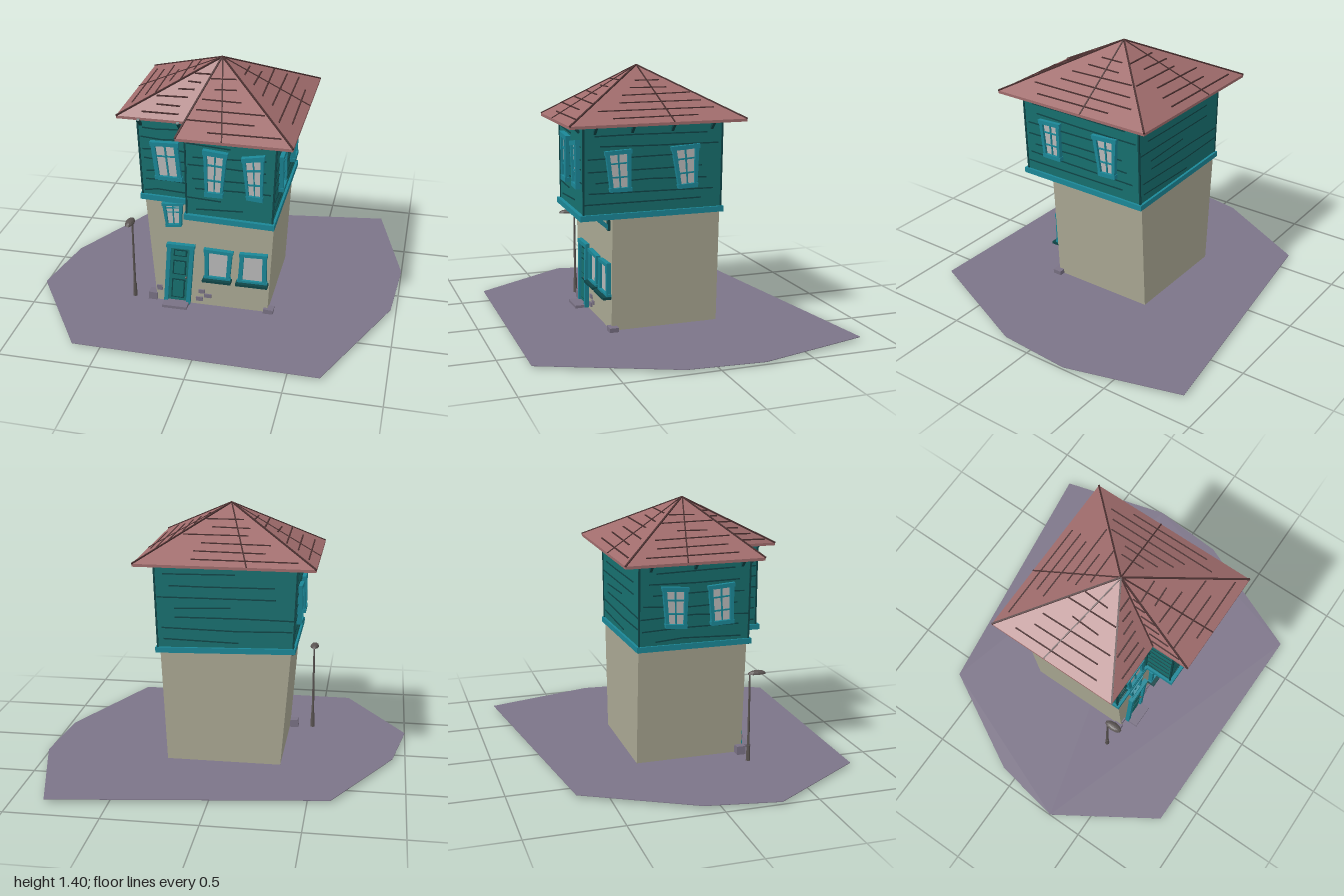
import * as THREE from 'three';

const mat = (color) => new THREE.MeshStandardMaterial({ color, flatShading: true, side: THREE.DoubleSide });
const M = {
  ground: mat(0x7c7488), plaster: mat(0xaaa893), teal: mat(0x17706f), trim: mat(0x1b8797), tealDark: mat(0x0e4547),
  roof: mat(0xa06c6c), roofDark: mat(0x4a3030), glass: mat(0xb8b8b8), stone: mat(0x797184), metal: mat(0x5a5452),
};
const V = (x, y, z) => new THREE.Vector3(x, y, z);

function add(parent, name, geo, material, pos = [0, 0, 0]) {
  const m = new THREE.Mesh(geo, material);
  m.name = name;
  m.position.set(...pos);
  parent.add(m);
  return m;
}
const box = (g, name, material, size, pos) => add(g, name, new THREE.BoxGeometry(...size), material, pos);

// Small seeded generator for uneven boards and slates
let seed = 7;
const rnd = () => (seed = (seed * 16807) % 2147483647) / 2147483647;

// Upright prism over an [x, z] outline, with an optional rule applied to each vertex
function prism(outline, y0, y1, rule) {
  const shape = new THREE.Shape(outline.map(([x, z]) => new THREE.Vector2(x, -z)));
  const geo = new THREE.ExtrudeGeometry(shape, { depth: y1 - y0, bevelEnabled: false });
  geo.rotateX(-Math.PI / 2).translate(0, y0, 0);
  if (rule) {
    const p = geo.attributes.position, v = V(0, 0, 0);
    for (let i = 0; i < p.count; i++) {
      rule(v.fromBufferAttribute(p, i));
      p.setXYZ(i, v.x, v.y, v.z);
    }
    geo.computeVertexNormals();
  }
  return geo;
}

// Square bar running from a to b
function bar(g, name, a, b, w, material, h = w) {
  const m = box(g, name, material, [w, h, a.distanceTo(b)], [0, 0, 0]);
  m.position.copy(a).lerp(b, 0.5);
  m.lookAt(b);
  return m;
}

// Crooked opening: corners TL, TR, BR, BL as [x, y]; pieces are cut from the quad in u, v
function opening(g, name, corners, { cols = 2, rows = [0.62], door = false, sill = false } = {}) {
  const o = new THREE.Group();
  o.name = name;
  g.add(o);
  const [tl, tr, br, bl] = corners.map((c) => new THREE.Vector2(...c));
  const at = (u, v) => bl.clone().lerp(br, u).lerp(tl.clone().lerp(tr, u), v);
  const piece = (part, u0, u1, v0, v1, front, material) => {
    const shape = new THREE.Shape([at(u0, v0), at(u1, v0), at(u1, v1), at(u0, v1)]);
    const geo = new THREE.ExtrudeGeometry(shape, { depth: front + 0.01, bevelEnabled: false });
    add(o, part, geo, material, [0, 0, -0.01]);
  };
  const fu = 0.15, fv = door ? 0.06 : 0.1;
  piece(door ? 'doorLeaf' : 'glass', 0.05, 0.95, 0.03, 0.97, 0.008, door ? M.teal : M.glass);
  piece('frameLeft', 0, fu, 0, 1, 0.022, M.trim);
  piece('frameRight', 1 - fu, 1, 0, 1, 0.022, M.trim);
  piece('frameTop', -0.03, 1.03, 1 - fv, 1, 0.024, M.trim);
  if (!door) piece('frameBottom', -0.03, 1.03, 0, fv, 0.024, M.trim);
  if (door) {
    for (const [v0, v1] of [[0.08, 0.4], [0.48, 0.72], [0.79, 0.9]]) {
      piece('panelGroove', 0.25, 0.75, v0, v1, 0.011, M.tealDark);
      piece('panel', 0.3, 0.7, v0 + 0.02, v1 - 0.02, 0.014, M.teal);
    }
    const k = at(0.78, 0.45);
    add(o, 'doorKnob', new THREE.SphereGeometry(0.007, 8, 6), M.metal, [k.x, k.y, 0.016]);
  } else {
    for (let i = 1; i < cols; i++) piece('mullion', i / cols - 0.03, i / cols + 0.03, 0.05, 0.95, 0.015, M.trim);
    for (const v of rows) piece('glazingBar', 0.1, 0.9, v - 0.018, v + 0.018, 0.014, M.trim);
  }
  if (sill) box(o, 'sill', M.tealDark, [br.x - bl.x + 0.02, 0.014, 0.05], [(bl.x + br.x) / 2, bl.y, 0.02]);
  return o;
}

export function createModel() {
  const house = new THREE.Group();
  house.name = 'crookedHouse';

  // Ground
  const plot = [[-0.62, -0.66], [-0.93, -0.09], [-1, 0.3], [-0.65, 0.845], [0.67, 0.86], [0.97, 0.17], [1, -0.24], [0.83, -0.86]];
  add(house, 'ground', prism(plot, 0.011, 0.014), M.ground);

  // Ground floor, leaning outwards towards the top
  const lower = [[-0.32, 0.34], [0.305, 0.34], [0.305, -0.26], [-0.32, -0.26]];
  add(house, 'groundFloor', prism(lower, 0.007, 0.66, (v) => { v.x += (v.x < 0 ? -0.05 : 0.033) * (v.y / 0.66); }), M.plaster);

  // Overhanging upper floor
  const upper = [[-0.38, 0.345], [-0.1, 0.345], [-0.1, 0.5], [0.35, 0.5], [0.35, -0.26], [-0.38, -0.26]];
  const y0 = 0.65, y1 = 1.13;
  const lean = (v) => { v.x *= 1 + 0.05 * (v.y - y0) / (y1 - y0); return v; };
  add(house, 'upperFloor', prism(upper, y0, y1, lean), M.teal);
  const band = [[-0.393, 0.36], [-0.113, 0.36], [-0.113, 0.52], [0.363, 0.52], [0.363, -0.273], [-0.393, -0.273]];
  add(house, 'floorBand', prism(band, 0.643, 0.673, (v) => { v.y -= 0.028 * v.x; }), M.trim);

  // Board joints and corner posts on every upper wall
  upper.forEach((p, i) => {
    const q = upper[(i + 1) % upper.length];
    const on = (t, y) => lean(V(p[0] + (q[0] - p[0]) * t, y, p[1] + (q[1] - p[1]) * t));
    bar(house, 'cornerPost', on(0, y0), on(0, y1), 0.009, M.tealDark);
    for (let k = 1; k < 8; k++) {
      const y = y0 + k * 0.06, split = 0.3 + rnd() * 0.4;
      const j = () => y + (rnd() - 0.5) * 0.018;
      const mid = on(split, j());
      bar(house, 'boardJoint', on(rnd() * 0.15, j()), mid, 0.007, M.tealDark);
      if (rnd() > 0.25) bar(house, 'boardJoint', mid, on(1 - rnd() * 0.15, j()), 0.007, M.tealDark);
    }
  });

  // Roof: thin eaves slab with a fan of slopes up to one peak
  const eaves = [[-0.5, 0.385], [-0.13, 0.385], [-0.13, 0.595], [0.46, 0.595], [0.46, -0.36], [-0.5, -0.36]];
  add(house, 'eaves', prism(eaves, 1.125, 1.14), M.roof);
  const peak = V(0, 1.397, 0.095), rim = eaves.map(([x, z]) => V(x, 1.14, z));
  const fan = [];
  rim.forEach((a, i) => fan.push(a, rim[(i + 1) % rim.length], peak));
  const roofGeo = new THREE.BufferGeometry().setFromPoints(fan);
  roofGeo.computeVertexNormals();
  add(house, 'roofSlopes', roofGeo, M.roof);
  rim.forEach((a, i) => {
    const b = rim[(i + 1) % rim.length];
    const on = (s, t) => peak.clone().lerp(a.clone().lerp(b, s), t);
    bar(house, 'ridge', peak, a, 0.009, M.roofDark);
    if (a.distanceTo(b) > 0.5) bar(house, 'slopeSeam', on(0.6, 0.02), on(0.4 + rnd() * 0.25, 1), 0.007, M.roofDark);
    for (let t = 0.28; t < 0.95; t += 0.125) {
      const s = rnd() * 0.35, e = 1 - rnd() * 0.3, w = (rnd() - 0.5) * 0.03;
      bar(house, 'slateLine', on(s, t), on(e, t + w), 0.007, M.roofDark);
    }
  });

  // Roof brackets: [x, z, outward x, outward z]
  const brackets = [];
  for (const z of [0.44, 0.24, 0.02, -0.2]) brackets.push([0.364, z, 1, 0]);
  for (const z of [0.3, 0.04, -0.2]) brackets.push([-0.396, z, -1, 0]);
  for (const x of [-0.05, 0.15, 0.29]) brackets.push([x, 0.5, 0, 1]);
  for (const x of [-0.38, -0.17]) brackets.push([x, 0.345, 0, 1]);
  for (const [x, z, dx, dz] of brackets) {
    bar(house, 'roofBracket', V(x, 1.085, z), V(x + dx * 0.045, 1.13, z + dz * 0.045), 0.014, M.tealDark);
  }

  // Braces under the overhang
  for (const x of [-0.057, 0.285]) {
    bar(house, 'overhangBrace', V(x, 0.57, 0.342), V(x, 0.65, 0.435), 0.022, M.trim);
    box(house, 'bracePost', M.tealDark, [0.024, 0.09, 0.014], [x, 0.605, 0.346]);
  }

  // Openings grouped by wall
  const wall = (name, pos, turn) => {
    const w = new THREE.Group();
    w.name = name;
    w.position.set(...pos);
    w.rotation.y = turn;
    house.add(w);
    return w;
  };
  const low = wall('groundFloorOpenings', [0, 0, 0.342], 0);
  opening(low, 'frontDoor', [[-0.25, 0.395], [-0.1, 0.395], [-0.13, 0.015], [-0.278, 0.02]], { door: true });
  opening(low, 'shopWindow', [[-0.043, 0.385], [0.112, 0.38], [0.096, 0.195], [-0.043, 0.195]], { cols: 1, rows: [], sill: true });
  opening(low, 'shopWindow', [[0.155, 0.38], [0.3, 0.385], [0.3, 0.195], [0.142, 0.195]], { cols: 1, rows: [], sill: true });
  opening(low, 'smallWindow', [[-0.273, 0.64], [-0.16, 0.65], [-0.17, 0.51], [-0.253, 0.5]], { rows: [0.6, 0.78] });
  const bay = wall('bayWindows', [0, 0, 0.503], 0);
  opening(bay, 'bayWindow', [[-0.005, 1.056], [0.118, 1.045], [0.092, 0.795], [0.003, 0.795]], { rows: [0.35, 0.68] });
  opening(bay, 'bayWindow', [[0.193, 1.03], [0.305, 1.05], [0.3, 0.793], [0.22, 0.8]], { rows: [0.35, 0.68] });
  const recess = wall('recessWindow', [0, 0, 0.348], 0);
  opening(recess, 'upperWindow', [[-0.326, 1.0], [-0.18, 1.005], [-0.16, 0.783], [-0.3, 0.785]]);
  const left = wall('leftSideWindows', [0.36, 0, 0], Math.PI / 2);
  opening(left, 'sideWindow', [[-0.388, 0.993], [-0.25, 1.0], [-0.25, 0.78], [-0.36, 0.78]], { rows: [0.35, 0.68] });
  opening(left, 'sideWindow', [[-0.028, 1.0], [0.125, 1.01], [0.115, 0.78], [0.014, 0.775]], { rows: [0.35, 0.68] });
  const right = wall('rightSideWindows', [-0.391, 0, 0], -Math.PI / 2);
  opening(right, 'sideWindow', [[-0.14, 1.0], [0.0, 0.99], [-0.01, 0.77], [-0.12, 0.78]], { rows: [0.35, 0.68] });
  opening(right, 'sideWindow', [[0.11, 0.99], [0.25, 1.0], [0.25, 0.78], [0.13, 0.775]], { rows: [0.35, 0.68] });

  // Doorstep, footing stones and bare bricks: [size, position]
  box(house, 'doorstep', M.stone, [0.14, 0.028, 0.085], [-0.205, 0.016, 0.375]);
  const stones = [
    [[0.05, 0.05, 0.05], [-0.345, 0.034, 0.325]], [[0.055, 0.032, 0.05], [0.312, 0.024, 0.335]],
    [[0.05, 0.012, 0.05], [-0.335, 0.006, 0.235]],
    [[0.035, 0.022, 0.012], [-0.065, 0.1, 0.342]], [[0.04, 0.022, 0.012], [-0.03, 0.075, 0.342]],
    [[0.04, 0.024, 0.012], [-0.078, 0.05, 0.342]], [[0.03, 0.03, 0.012], [-0.305, 0.095, 0.342]],
  ];
  for (const [size, pos] of stones) box(house, 'stone', M.stone, size, pos).rotation.z = (rnd() - 0.5) * 0.15;

  // Street lamp with its head reaching forwards
  const lamp = new THREE.Group();
  lamp.name = 'streetLamp';
  lamp.position.set(-0.455, 0, 0.33);
  house.add(lamp);
  add(lamp, 'lampPole', new THREE.CylinderGeometry(0.005, 0.008, 0.49, 8), M.metal, [0, 0.26, 0]);
  add(lamp, 'lampFoot', new THREE.CylinderGeometry(0.01, 0.013, 0.09, 8), M.metal, [0, 0.055, 0]);
  const head = add(lamp, 'lampHead', new THREE.SphereGeometry(1, 10, 4, 0, Math.PI * 2, 0, Math.PI / 2), M.metal, [0, 0.503, 0.04]);
  head.scale.set(0.025, 0.02, 0.052);
  return house;
}
